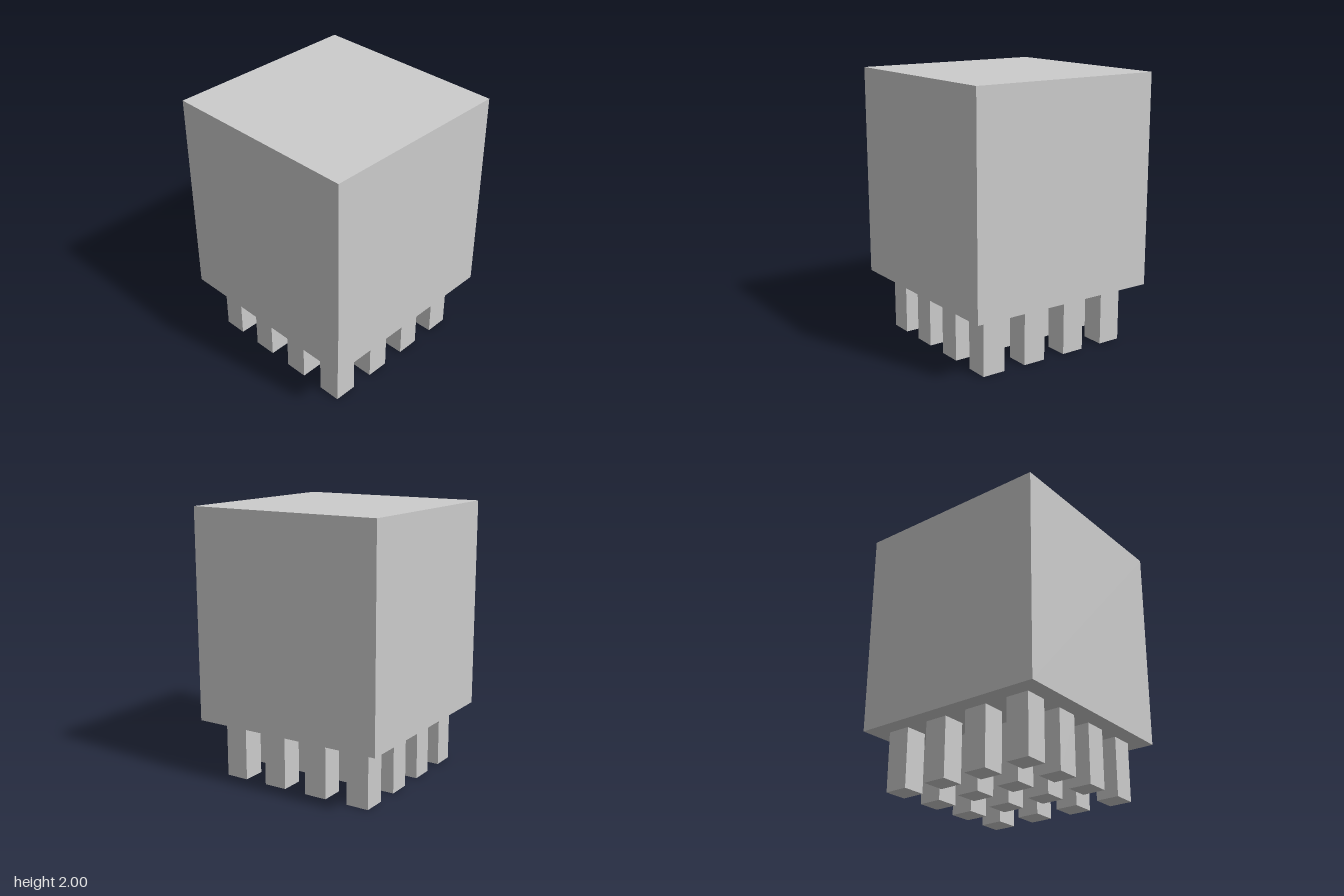
import * as THREE from 'three';

const BODY_WIDTH = 1.476;
const BODY_BOTTOM = 0.44;
const HEIGHT = 2;
const LEG_WIDTH = 0.174;
const LEG_PITCH = 0.347;
const LEGS_PER_SIDE = 4;

export function createModel() {
  const model = new THREE.Group();
  model.name = 'leggedBlock';
  const material = new THREE.MeshStandardMaterial({ color: 0xcccccc, flatShading: true });

  // Large block on top
  const bodyHeight = HEIGHT - BODY_BOTTOM;
  const body = new THREE.Mesh(new THREE.BoxGeometry(BODY_WIDTH, bodyHeight, BODY_WIDTH), material);
  body.name = 'body';
  body.position.y = BODY_BOTTOM + bodyHeight / 2;
  model.add(body);

  // Square grid of legs underneath
  const legs = new THREE.Group();
  legs.name = 'legs';
  const legGeometry = new THREE.BoxGeometry(LEG_WIDTH, BODY_BOTTOM, LEG_WIDTH);
  const offset = (i) => (i - (LEGS_PER_SIDE - 1) / 2) * LEG_PITCH;
  for (let row = 0; row < LEGS_PER_SIDE; row++) {
    for (let column = 0; column < LEGS_PER_SIDE; column++) {
      const leg = new THREE.Mesh(legGeometry, material);
      leg.name = `leg_${row + 1}_${column + 1}`;
      leg.position.set(offset(column) - 0.002, BODY_BOTTOM / 2, offset(row) + 0.002);
      legs.add(leg);
    }
  }
  model.add(legs);

  return model;
}
